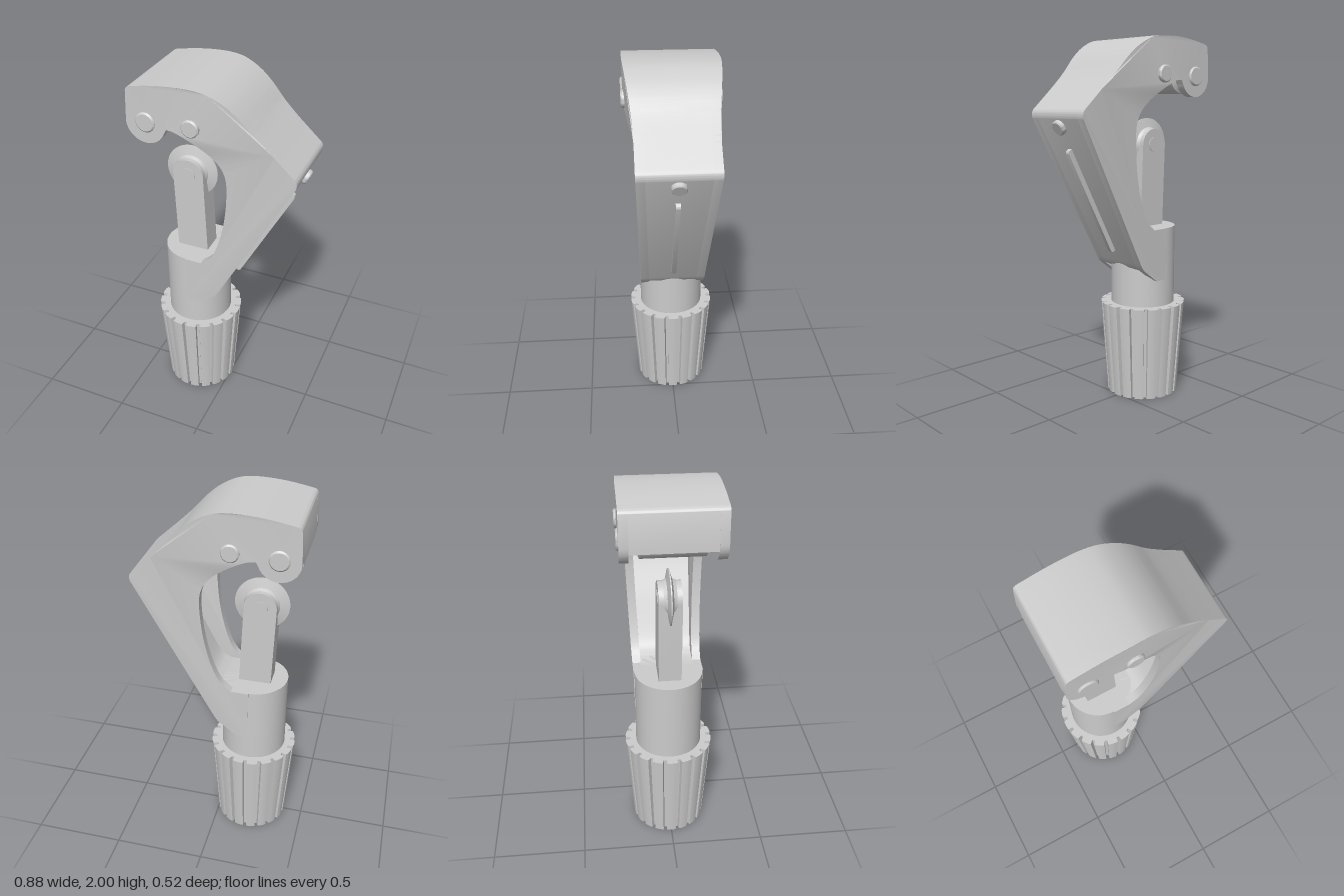
import * as THREE from 'three';
import { toCreasedNormals, mergeVertices } from 'three/addons/utils/BufferGeometryUtils.js';

const AXIS = -0.19; // x of the handle and body axis
const WALL = 0.045;

export function createModel() {
  const model = new THREE.Group();
  const mat = new THREE.MeshStandardMaterial({ color: 0xcccccc });

  function add(name, geo, x = 0, y = 0, z = 0) {
    const mesh = new THREE.Mesh(geo, mat);
    mesh.name = name;
    mesh.position.set(x, y, z);
    model.add(mesh);
    return mesh;
  }
  const v = (pts) => pts.map(([x, y]) => new THREE.Vector2(x, y));
  const creased = (g, a = 0.6) => toCreasedNormals(g, a);

  // half width of the frame: wide at the head, narrowing down the arm
  function halfWidth(x, y) {
    const base = THREE.MathUtils.lerp(0.18, 0.207, THREE.MathUtils.clamp((y - 0.8) / 0.8, 0, 1));
    if (y < 1.45) return base;
    const angle = THREE.MathUtils.radToDeg(Math.atan2(y - 1.4, x + 0.25));
    return THREE.MathUtils.lerp(base, 0.25, THREE.MathUtils.smoothstep(angle, 30, 82));
  }

  // extrudes a side-view shape, then moves its two faces to the given z rule
  function slab(shape, zBack, zFront) {
    const g = new THREE.ExtrudeGeometry(shape, { depth: 1, bevelEnabled: false, curveSegments: 14 });
    const p = g.attributes.position;
    for (let i = 0; i < p.count; i++) {
      const w = halfWidth(p.getX(i), p.getY(i));
      p.setZ(i, p.getZ(i) > 0.5 ? zFront(w) : zBack(w));
    }
    return creased(g);
  }

  // outer edge of the frame, from the nose over the top to the foot
  function outerEdge(s) {
    s.lineTo(-0.432, 1.94);
    s.quadraticCurveTo(-0.43, 1.963, -0.405, 1.968);
    s.splineThru(v([[-0.3, 1.987], [-0.2, 1.998], [-0.1, 2], [-0.02, 1.988], [0.06, 1.95],
      [0.13, 1.895], [0.21, 1.81], [0.3, 1.725], [0.41, 1.625]]));
    s.quadraticCurveTo(0.43, 1.607, 0.42, 1.575);
    s.lineTo(0.0, 0.785);
    s.lineTo(-0.02, 0.755);
  }

  // side plates
  const side = new THREE.Shape();
  side.moveTo(-0.44, 1.79);
  outerEdge(side);
  side.lineTo(-0.12, 0.68);
  side.lineTo(AXIS, 0.68);
  side.lineTo(AXIS, 0.97);
  side.lineTo(-0.095, 0.97);
  side.splineThru(v([[-0.04, 1.02], [0.0, 1.1], [0.035, 1.22], [0.058, 1.36], [0.065, 1.51],
    [0.045, 1.59], [0.0, 1.65], [-0.06, 1.7], [-0.13, 1.745], [-0.185, 1.77], [-0.225, 1.775]]));
  side.lineTo(-0.236, 1.755);
  side.absarc(-0.335, 1.79, 0.105, -0.34, -Math.PI, true);
  add('leftFramePlate', slab(side, (w) => w - WALL, (w) => w));
  add('rightFramePlate', slab(side, (w) => -w, (w) => WALL - w));

  // web that closes the outside of the channel and fills the foot
  const web = new THREE.Shape();
  web.moveTo(-0.44, 1.76);
  outerEdge(web);
  web.lineTo(-0.1, 0.72);
  web.lineTo(-0.15, 0.72);
  web.lineTo(-0.15, 0.97);
  web.lineTo(-0.02, 0.97);
  web.splineThru(v([[0.05, 1.03], [0.17, 1.25], [0.26, 1.42], [0.3, 1.53], [0.27, 1.61],
    [0.17, 1.71], [0.09, 1.8], [0.02, 1.88], [-0.05, 1.915], [-0.15, 1.92], [-0.28, 1.915], [-0.37, 1.9]]));
  web.lineTo(-0.405, 1.88);
  web.lineTo(-0.41, 1.76);
  add('frameWeb', slab(web, (w) => WALL - w, (w) => w - WALL));

  // round body that guides the spindle
  add('body', new THREE.CylinderGeometry(0.18, 0.18, 0.47, 64), AXIS, 0.735, 0);

  // tapered handle with narrow grooves
  const grip = new THREE.Shape();
  const teeth = 18, step = (Math.PI * 2) / teeth;
  for (let i = 0; i < teeth; i++) {
    const profile = [[0, 0.238], [0.18, 0.24], [0.36, 0.24], [0.54, 0.24], [0.72, 0.238], [0.75, 0.212], [0.97, 0.212]];
    for (const [t, r] of profile) {
      const a = (i + t - 0.36) * step;
      if (i === 0 && t === 0) grip.moveTo(r * Math.cos(a), r * Math.sin(a));
      else grip.lineTo(r * Math.cos(a), r * Math.sin(a));
    }
  }
  grip.closePath();
  const hole = new THREE.Path();
  hole.absarc(0, 0, 0.055, 0, Math.PI * 2, true);
  grip.holes.push(hole);
  const handle = new THREE.ExtrudeGeometry(grip, { depth: 0.53, bevelEnabled: false, curveSegments: 24 });
  handle.rotateX(-Math.PI / 2);
  const hp = handle.attributes.position;
  for (let i = 0; i < hp.count; i++) {
    const x = hp.getX(i), z = hp.getZ(i);
    if (Math.hypot(x, z) < 0.1) continue;
    const k = THREE.MathUtils.lerp(0.84, 1, hp.getY(i) / 0.53);
    hp.setX(i, x * k);
    hp.setZ(i, z * k);
  }
  add('handle', creased(handle, 0.45), AXIS, 0, 0);
  add('handleScrew', new THREE.CylinderGeometry(0.055, 0.055, 0.4, 32), AXIS, 0.22, 0);

  // blade holder with rounded top
  const WX = -0.215, WY = 1.425;
  const holder = new THREE.Shape();
  holder.moveTo(-0.285, 0.95);
  holder.lineTo(-0.11, 0.95);
  holder.lineTo(WX + 0.086, WY);
  holder.absarc(WX, WY, 0.086, 0, Math.PI, false);
  const holderGeo = new THREE.ExtrudeGeometry(holder, { depth: 0.12, bevelEnabled: false, curveSegments: 24 });
  add('bladeHolder', creased(holderGeo), 0, 0, -0.06);

  // cutting wheel, thin at its rim
  const wheel = new THREE.LatheGeometry(v([[0, -0.045], [0.08, -0.045], [0.095, -0.016], [0.145, -0.003],
    [0.145, 0.003], [0.095, 0.016], [0.08, 0.045], [0, 0.045]]), 48);
  wheel.rotateX(Math.PI / 2);
  add('cuttingWheel', creased(wheel, 0.3), WX, WY, 0);
  const axle = new THREE.CylinderGeometry(0.04, 0.04, 0.128, 32);
  axle.rotateX(Math.PI / 2);
  add('wheelAxle', axle, WX, WY, 0);

  // guide rollers and the pins they turn on
  for (const [x, y, r, pinR] of [[-0.335, 1.795, 0.092, 0.052], [-0.1, 1.805, 0.1, 0.046]]) {
    const roller = new THREE.LatheGeometry(v([[0, -0.195], [r * 0.75, -0.195], [r * 0.75, -0.165], [r, -0.155],
      [r, 0.155], [r * 0.75, 0.165], [r * 0.75, 0.195], [0, 0.195]]), 40);
    roller.rotateX(Math.PI / 2);
    add('guideRoller', creased(roller, 0.5), x, y, 0);
    const pin = new THREE.LatheGeometry(v([[0, -0.26], [pinR * 0.85, -0.26], [pinR, -0.253],
      [pinR, 0.253], [pinR * 0.85, 0.26], [0, 0.26]]), 32);
    pin.rotateX(Math.PI / 2);
    add('rollerPin', creased(pin, 0.5), x, y, 0);
  }

  // raised rib and screw head on the sloping back of the arm
  const slope = Math.atan2(0.42, 0.79);
  const rib = new THREE.Shape();
  rib.moveTo(-0.02, -0.322);
  rib.lineTo(0.012, -0.322);
  rib.quadraticCurveTo(0.028, -0.32, 0.028, -0.3);
  rib.lineTo(0.028, 0.3);
  rib.quadraticCurveTo(0.028, 0.32, 0.012, 0.322);
  rib.lineTo(-0.02, 0.322);
  const ribGeo = new THREE.ExtrudeGeometry(rib, { depth: 0.025, bevelEnabled: false });
  ribGeo.translate(0, 0, -0.0125);
  add('backRib', creased(ribGeo), 0.187, 1.137, 0).rotation.z = -slope;

  const screw = new THREE.LatheGeometry(v([[0, -0.03], [0.04, -0.03], [0.04, 0.017], [0.034, 0.023], [0, 0.023]]), 32);
  screw.rotateZ(-Math.PI / 2);
  add('backScrew', creased(screw, 0.5), 0.4, 1.535, 0).rotation.z = -slope;

  return model;
}
